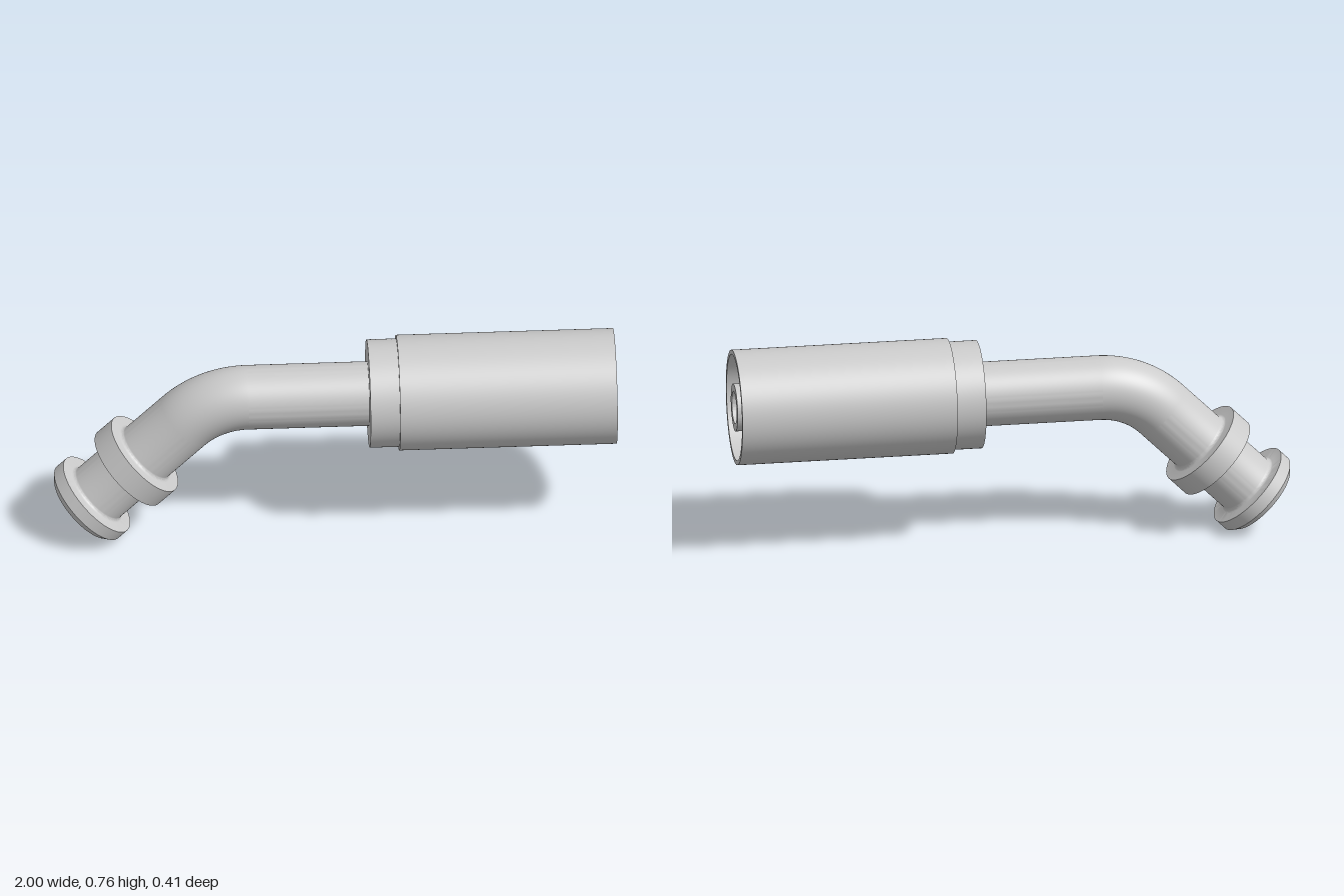
import * as THREE from 'three';
import { toCreasedNormals } from 'three/addons/utils/BufferGeometryUtils.js';

const AXIS_Y = 0.557;          // height of the horizontal axis
const ELBOW_X = -0.443;        // where the two straight axes meet
const BEND_R = 0.32;           // bend radius of the tube centreline
const TANGENT = BEND_R * Math.tan(Math.PI / 8);
const TUBE_R = 0.115;
const BORE_R = 0.085;
const SEGMENTS = 96;

const material = new THREE.MeshStandardMaterial({ color: 0xcccccc });
const insideMaterial = new THREE.MeshStandardMaterial({ color: 0xcccccc, side: THREE.BackSide });

// Turned part: profile of [radius, distance along the axis]
function turned(name, profile) {
  const points = profile.map(([r, d]) => new THREE.Vector2(r, d));
  const geometry = toCreasedNormals(new THREE.LatheGeometry(points, SEGMENTS), 0.5);
  const mesh = new THREE.Mesh(geometry, material);
  mesh.name = name;
  return mesh;
}

// Concave fillet from the tube wall out onto a flange face at distance d
function fillet(d, size = 0.014, steps = 5) {
  return Array.from({ length: steps + 1 }, (_, i) => {
    const a = (i / steps) * Math.PI / 2;
    return [TUBE_R + size * (1 - Math.cos(a)), d - size * (1 - Math.sin(a))];
  });
}

// Quarter-angle bend, outer wall or bore
function bend(name, radius, mat) {
  const mesh = new THREE.Mesh(new THREE.TorusGeometry(BEND_R, radius, SEGMENTS, 32, Math.PI / 4), mat);
  mesh.name = name;
  mesh.rotation.z = Math.PI / 2;
  mesh.position.set(ELBOW_X + TANGENT, AXIS_Y - BEND_R, 0);
  return mesh;
}

export function createModel() {
  const model = new THREE.Group();
  model.name = 'hoseFitting';

  // Horizontal parts, turned about the x axis
  const hoseEnd = new THREE.Group();
  hoseEnd.name = 'hoseEnd';
  hoseEnd.rotation.z = -Math.PI / 2;
  hoseEnd.position.y = AXIS_Y;
  hoseEnd.add(
    turned('straightTube', [
      [TUBE_R, ELBOW_X + TANGENT], [TUBE_R, 0.13],
    ]),
    turned('straightBore', [
      [0.058, 0.13], [BORE_R, 0.13], [BORE_R, ELBOW_X + TANGENT],
    ]),
    turned('collar', [
      [TUBE_R - 0.005, 0.12], [0.193, 0.12], [0.193, 0.226],
    ]),
    // Crimp shell with a tapered socket
    turned('ferrule', [
      [0.18, 0.225], [0.206, 0.225], [0.206, 1], [0.19, 1], [0.16, 0.27], [0.1, 0.27],
    ]),
    // Tapered hose insert with a through bore
    turned('nipple', [
      [0.106, 0.27], [0.085, 1], [0.058, 1], [0.058, 0.13],
    ]),
  );

  // Angled end, turned about the axis running down and to the -x side
  const spigot = new THREE.Group();
  spigot.name = 'angledEnd';
  spigot.rotation.z = Math.PI * 0.75;
  spigot.position.set(ELBOW_X, AXIS_Y, 0);
  spigot.add(
    turned('flangedTube', [
      [TUBE_R, TANGENT],
      ...fillet(0.33), [0.168, 0.33], [0.168, 0.414], [TUBE_R, 0.414],
      ...fillet(0.572), [0.168, 0.572], [0.168, 0.618], [0.145, 0.641],
      [BORE_R, 0.641], [BORE_R, TANGENT],
    ]),
  );

  model.add(
    hoseEnd,
    spigot,
    bend('bentTube', TUBE_R, material),
    bend('bentBore', BORE_R, insideMaterial),
  );
  return model;
}
